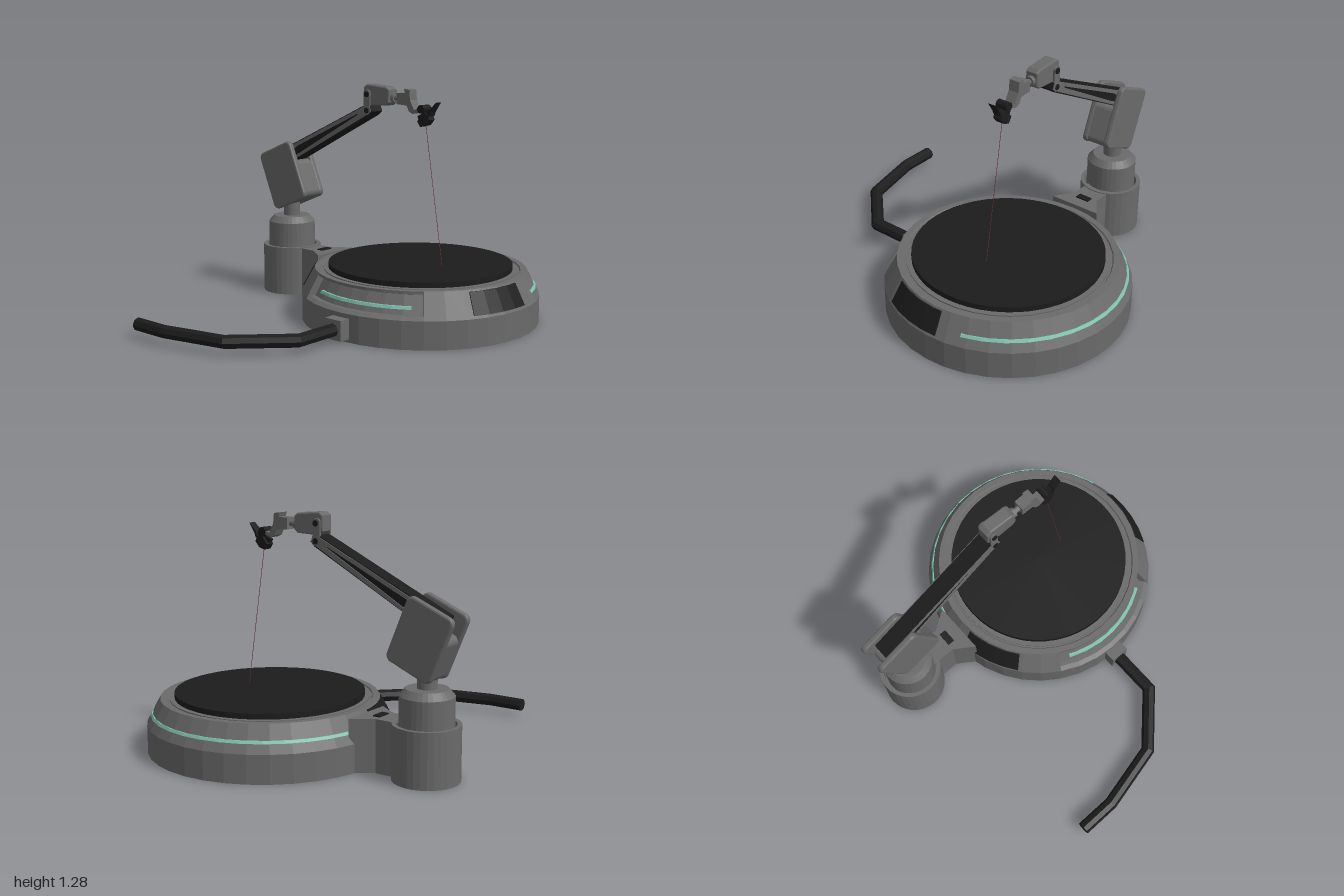
import * as THREE from 'three';

const mat = (color) => new THREE.MeshStandardMaterial({ color, flatShading: true, side: THREE.DoubleSide });
const GREY = mat(0x6a6a6a), BLACK = mat(0x1c1c1c), TEAL = mat(0x7fc4b0), RED = mat(0x7a3038);
const DEG = Math.PI / 180;
const AX = 0.33; // arm centre line

function add(parent, name, geo, material, x = 0, y = 0, z = 0) {
  const m = new THREE.Mesh(geo, material);
  m.name = name;
  m.position.set(x, y, z);
  parent.add(m);
  return m;
}

const v2 = (pts) => pts.map(([a, b]) => new THREE.Vector2(a, b));
const lathe = (pts, segs = 32) => new THREE.LatheGeometry(v2(pts), segs);

// Side profile given as (z, y), extruded symmetrically along x
function extrudeX(shape, width, bevel = 0) {
  const depth = width - 2 * bevel;
  const g = new THREE.ExtrudeGeometry(shape, {
    depth, curveSegments: 5, bevelEnabled: bevel > 0,
    bevelSize: bevel, bevelThickness: bevel, bevelOffset: -bevel, bevelSegments: 2,
  });
  return g.translate(0, 0, -depth / 2).rotateY(-Math.PI / 2);
}
const poly = (pts) => new THREE.Shape(v2(pts));

function roundedRect(w, h, r, cy = 0) {
  const s = new THREE.Shape(), a = w / 2 - r, b = h / 2 - r;
  s.absarc(a, cy + b, r, 0, Math.PI / 2);
  s.absarc(-a, cy + b, r, Math.PI / 2, Math.PI);
  s.absarc(-a, cy - b, r, Math.PI, Math.PI * 1.5);
  s.absarc(a, cy - b, r, Math.PI * 1.5, Math.PI * 2);
  return s;
}

// Closed profile (radius, y) swept from angle a0 to a1 (0 = front, 90 = left), ends capped
function sector(parent, name, pts, a0, a1, segs, material) {
  const g = new THREE.Group();
  g.name = name;
  parent.add(g);
  add(g, name + 'Band', new THREE.LatheGeometry(v2([...pts, pts[0]]), segs, a0 * DEG, (a1 - a0) * DEG), material);
  for (const a of [a0, a1]) {
    add(g, name + 'End', new THREE.ShapeGeometry(poly(pts)), material).rotation.y = (a - 90) * DEG;
  }
}

// Thin strip lying on the sloping shoulder of the base
function slopeStrip(y0, y1, off) {
  const r = (y) => 0.655 - 0.533 * (y - 0.15);
  return [[r(y0) + off, y0], [r(y1) + off, y1], [r(y1) - 0.015, y1], [r(y0) - 0.015, y0]];
}

// Cylinder whose rings are mitred along a flat path of (x, z) points
function bentRod(path, radius, sides) {
  const p = v2(path), n = p.length;
  const g = new THREE.CylinderGeometry(radius, radius, 1, sides, n - 1);
  const pos = g.attributes.position;
  const dir = (i) => p[i + 1].clone().sub(p[i]).normalize();
  for (let i = 0; i < pos.count; i++) {
    const k = Math.round((0.5 - pos.getY(i)) * (n - 1));
    const row = n - 1 - k;
    const a = dir(Math.max(row - 1, 0)), b = dir(Math.min(row, n - 2));
    const t = a.clone().add(b).normalize();
    const s = pos.getX(i) / t.dot(a);
    pos.setXYZ(i, p[row].x - t.y * s, pos.getZ(i), p[row].y + t.x * s);
  }
  g.computeVertexNormals();
  return g;
}

function buildBase() {
  const base = new THREE.Group();
  base.name = 'base';
  base.position.set(0.345, 0, 0.255);
  // Core drum; its recessed shoulder shows only in the side notch
  add(base, 'drum', lathe([[0, 0], [0.655, 0], [0.655, 0.15], [0.63, 0.165], [0.605, 0.165], [0.555, 0.262],
    [0.583, 0.27], [0.583, 0.285], [0.55, 0.285], [0.545, 0.278], [0, 0.278]], 36), GREY);
  sector(base, 'shoulder', [[0.655, 0.15], [0.583, 0.285], [0.55, 0.285], [0.55, 0.2], [0.6, 0.15]], -50, 240, 29, GREY);
  add(base, 'platter', new THREE.CylinderGeometry(0.507, 0.507, 0.035, 48), BLACK, 0, 0.295, 0);
  add(base, 'platterRing', lathe([[0.535, 0.278], [0.535, 0.284], [0.507, 0.284]], 36), GREY);
  sector(base, 'frontPanel', slopeStrip(0.165, 0.275, 0.005), -27, 5, 4, BLACK);
  sector(base, 'backPanel', slopeStrip(0.165, 0.275, 0.005), 187, 218, 4, BLACK);
  sector(base, 'leftLight', slopeStrip(0.197, 0.211, 0.005), 17, 177, 16, TEAL);
  sector(base, 'rightLight', [[0.6, 0.193], [0.594, 0.208], [0.57, 0.208], [0.57, 0.193]], 246, 304, 6, TEAL);
  return base;
}

function buildTower() {
  const tower = new THREE.Group();
  tower.name = 'tower';
  tower.position.set(AX, 0, -0.725);
  add(tower, 'socket', lathe([[0, 0], [0.172, 0], [0.172, 0.285], [0.15, 0.285], [0.15, 0.22], [0, 0.22]]), GREY);
  add(tower, 'collar', lathe([[0.138, 0.22], [0.138, 0.425], [0.108, 0.46], [0, 0.46]]), GREY);
  add(tower, 'neck', new THREE.CylinderGeometry(0.05, 0.05, 0.12, 20), GREY, 0, 0.51, 0);
  // Flared bridge to the base, plan in (x, -z)
  const plan = poly([[-0.15, -0.36], [0.15, -0.36], [0.075, -0.25], [0.075, -0.1], [-0.075, -0.1], [-0.075, -0.25]]);
  add(tower, 'bridge', new THREE.ExtrudeGeometry(plan, { depth: 0.278, bevelEnabled: false }).rotateX(-Math.PI / 2), GREY, 0, 0.002, 0);
  add(tower, 'bridgeInset', new THREE.BoxGeometry(0.08, 0.012, 0.04), BLACK, 0, 0.28, 0.27);
  return tower;
}

function buildShoulder() {
  const g = new THREE.Group();
  g.name = 'shoulderHousing';
  g.position.set(AX, 0.707, -0.725);
  g.rotation.x = -22.5 * DEG;
  for (const s of [-1, 1]) {
    add(g, 'cheek', extrudeX(roundedRect(0.275, 0.355, 0.035), 0.036, 0.01), GREY, s * 0.069, 0, 0);
  }
  add(g, 'centreBlock', extrudeX(roundedRect(0.268, 0.235, 0.035, -0.056), 0.125), GREY);
  return g;
}

function buildArm() {
  const arm = new THREE.Group();
  arm.name = 'arm';
  arm.position.x = AX;
  // Tapered frame with a long slot, filled by a dark core
  const frame = poly([[-0.84, 0.815], [-0.81, 0.735], [-0.65, 0.81], [-0.08, 1.108], [-0.055, 1.125], [-0.065, 1.155], [-0.09, 1.16]]);
  frame.holes.push(new THREE.Path(v2([[-0.72, 0.825], [-0.7, 0.81], [-0.62, 0.845], [-0.15, 1.103], [-0.15, 1.11], [-0.63, 0.89]])));
  add(arm, 'armFrame', extrudeX(frame, 0.1), GREY);
  add(arm, 'armCore', extrudeX(poly([[-0.842, 0.82], [-0.81, 0.73], [-0.65, 0.805], [-0.075, 1.102], [-0.05, 1.125],
    [-0.065, 1.16], [-0.09, 1.165]]), 0.09), BLACK);
  // Elbow link plates and pivots
  for (const s of [-1, 1]) {
    add(arm, 'elbowPlate', extrudeX(roundedRect(0.045, 0.14, 0.02), 0.01), GREY, s * 0.043, 1.175, -0.087);
  }
  for (const y of [1.13, 1.22]) {
    add(arm, 'elbowPivot', new THREE.CylinderGeometry(0.016, 0.016, 0.108, 12).rotateZ(Math.PI / 2), BLACK, 0, y, -0.085);
  }
  // Chamfered head
  add(arm, 'head', extrudeX(poly([[-0.12, 1.18], [-0.095, 1.158], [0.045, 1.163], [0.065, 1.18], [0.065, 1.25],
    [0.045, 1.265], [-0.095, 1.277], [-0.12, 1.26]]), 0.074, 0.008), GREY);
  return arm;
}

function buildWrist() {
  const w = new THREE.Group();
  w.name = 'wrist';
  w.position.x = AX;
  const rod = (r, len) => new THREE.CylinderGeometry(r, r, len, 12).rotateX(Math.PI / 2);
  add(w, 'wristShaft', rod(0.016, 0.08), GREY, 0, 1.207, 0.095);
  add(w, 'wristCollar', rod(0.027, 0.02), GREY, 0, 1.207, 0.075);
  add(w, 'wristBracket', extrudeX(poly([[0.115, 1.175], [0.185, 1.17], [0.2, 1.14], [0.225, 1.128], [0.295, 1.148],
    [0.295, 1.168], [0.235, 1.15], [0.208, 1.2], [0.202, 1.255], [0.165, 1.26], [0.172, 1.238], [0.115, 1.235]]), 0.06), GREY);
  add(w, 'toolPivot', new THREE.CylinderGeometry(0.023, 0.023, 0.068, 14).rotateZ(Math.PI / 2), BLACK, 0, 1.155, 0.283);
  // Dark tool head with a raised blade
  add(w, 'toolBody', extrudeX(poly([[0.255, 1.09], [0.275, 1.06], [0.31, 1.07], [0.335, 1.1], [0.325, 1.125],
    [0.3, 1.14], [0.275, 1.155], [0.285, 1.125]]), 0.05), BLACK);
  add(w, 'toolBlade', extrudeX(poly([[0.32, 1.115], [0.335, 1.12], [0.345, 1.145], [0.378, 1.195], [0.335, 1.155]]), 0.045), BLACK);
  add(w, 'toolNozzle', extrudeX(poly([[0.335, 1.135], [0.255, 1.095], [0.245, 1.115], [0.325, 1.155]]), 0.025), BLACK);
  // Thin beam down to the platter
  const beam = new THREE.LineCurve3(new THREE.Vector3(0, 1.08, 0.294), new THREE.Vector3(0, 0.312, 0.417));
  add(w, 'beam', new THREE.TubeGeometry(beam, 1, 0.0015, 5), RED);
  return w;
}

function buildHandle() {
  const h = new THREE.Group();
  h.name = 'handle';
  add(h, 'handleMount', new THREE.BoxGeometry(0.08, 0.108, 0.108), GREY, -0.33, 0.073, 0.255);
  const rod = bentRod([[-0.36, 0.255], [-0.62, 0.255], [-0.88, 0.0], [-0.963, -0.36], [-0.965, -0.57]], 0.036, 8);
  add(h, 'handleBar', rod, BLACK, 0, 0.071, 0);
  return h;
}

export function createModel() {
  const model = new THREE.Group();
  model.name = 'turntableScanner';
  model.add(buildBase(), buildTower(), buildShoulder(), buildArm(), buildWrist(), buildHandle());
  return model;
}
